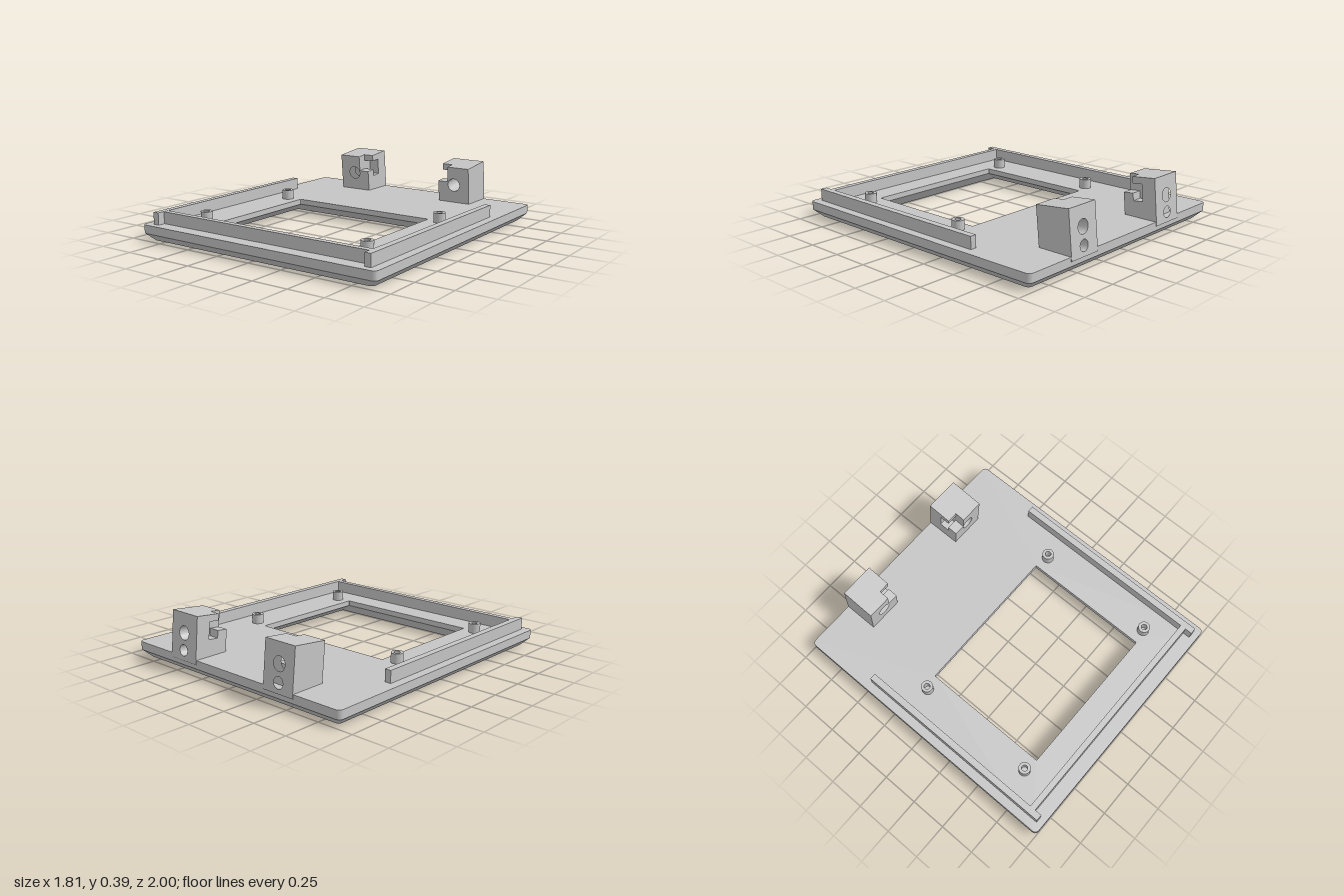
import * as THREE from 'three';

const grey = new THREE.MeshStandardMaterial({ color: 0xc5c5c5 });
grey.name = 'light grey plastic';

// Rounded rectangle as a loop of [x, z] points
function loop(x0, x1, z0, z1, r, steps = 5) {
  const pts = [];
  const corners = [[x1 - r, z1 - r], [x0 + r, z1 - r], [x0 + r, z0 + r], [x1 - r, z0 + r]];
  corners.forEach(([cx, cz], q) => {
    for (let i = 0; i <= steps; i++) {
      const a = (q + i / steps) * Math.PI / 2;
      pts.push([cx + r * Math.cos(a), cz + r * Math.sin(a)]);
    }
  });
  return pts;
}

// Walls between stacked loops; rising loops face outward, falling loops face inward
function walls(...rings) {
  const pos = [];
  for (let k = 0; k + 1 < rings.length; k++) {
    const [a, ya] = rings[k], [b, yb] = rings[k + 1];
    for (let i = 0; i < a.length; i++) {
      const j = (i + 1) % a.length;
      const ai = [a[i][0], ya, a[i][1]], aj = [a[j][0], ya, a[j][1]];
      const bi = [b[i][0], yb, b[i][1]], bj = [b[j][0], yb, b[j][1]];
      pos.push(...ai, ...bi, ...aj, ...aj, ...bi, ...bj);
    }
  }
  const g = new THREE.BufferGeometry();
  g.setAttribute('position', new THREE.Float32BufferAttribute(pos, 3));
  g.computeVertexNormals();
  return g;
}

// Flat horizontal face with holes, facing up (1) or down (-1)
function face(outline, holes, y, dir) {
  const v = (l) => l.map(([x, z]) => new THREE.Vector2(x, -dir * z));
  const s = new THREE.Shape(v(outline));
  holes.forEach((h) => s.holes.push(new THREE.Path(v(h))));
  return new THREE.ShapeGeometry(s).rotateX(-dir * Math.PI / 2).translate(0, y, 0);
}

export function createModel() {
  const model = new THREE.Group();
  model.name = 'displayBezel';
  const add = (name, geo, parent = model) => {
    const m = new THREE.Mesh(geo, grey);
    m.name = name;
    parent.add(m);
    return m;
  };
  const box = (name, x0, x1, y0, y1, z0, z1) =>
    add(name, new THREE.BoxGeometry(x1 - x0, y1 - y0, z1 - z0)
      .translate((x0 + x1) / 2, (y0 + y1) / 2, (z0 + z1) / 2));

  // Plate with chamfered lower edge and a window that flares underneath
  const top = 0.107;
  const rim = loop(-0.905, 0.905, -0.995, 1, 0.03);
  const base = loop(-0.855, 0.855, -0.945, 0.95, 0.025);
  const win = loop(-0.537, 0.537, -0.195, 0.7, 0.008);
  const flare = loop(-0.65, 0.65, -0.3, 0.755, 0.008);
  const recesses = [
    ['slotRecess', loop(-0.11, 0.65, -0.55, -0.49, 0.008)],
    ['smallRecess', loop(-0.705, -0.615, -0.81, -0.73, 0.004)],
  ];
  const plate = new THREE.Group();
  plate.name = 'plate';
  model.add(plate);
  add('plateTop', face(rim, [win], top, 1), plate);
  add('plateBottom', face(base, [flare, ...recesses.map((r) => r[1])], 0, -1), plate);
  add('plateEdge', walls([base, 0], [rim, 0.05], [rim, top]), plate);
  add('windowEdge', walls([win, top], [win, 0.07], [flare, 0]), plate);
  for (const [name, l] of recesses) {
    add(name + 'Walls', walls([l, 0.02], [l, 0]), plate);
    add(name + 'Floor', face(l, [], 0.02, -1), plate);
  }

  // Raised rails
  box('frontRail', -0.81, 0.81, 0.1, 0.187, 0.865, 0.905);
  for (const s of [-1, 1]) {
    const x = s * 0.8235;
    box('sideRail', x - 0.022, x + 0.022, 0.1, 0.188, -0.49, 0.955);
  }

  // Hollow screw posts
  const post = [[0.04, 0], [0.04, 0.065], [0.02, 0.065], [0.02, 0.001], [0, 0.001]]
    .map(([r, y]) => new THREE.Vector2(r, y));
  const postGeo = new THREE.LatheGeometry(post, 28).toNonIndexed();
  postGeo.computeVertexNormals();
  for (const x of [-0.637, 0.637]) {
    for (const z of [-0.17, 0.68]) add('screwPost', postGeo).position.set(x, top, z);
  }

  // Leaning hinge blocks, cut in slices from back to front, with a side pocket behind a front lip
  const H = 0.31, inner = 0.307, mid = 0.383, outer = 0.55;
  const full = [[inner, 0], [outer, 0], [outer, H], [inner, H]];
  const hooked = [[inner, 0], [outer, 0], [outer, H], [inner, H],
    [inner, 0.265], [mid, 0.265], [mid, 0.15], [inner, 0.15]];
  const stepped = [[inner, 0], [outer, 0], [outer, H], [mid, H], [mid, 0.2], [inner, 0.2]];
  const bore = [0.18, 0.046], blind = [0.067, 0.037];
  const slices = [
    [full, 0, 0.06, [bore, blind]],
    [full, 0.06, 0.1, [bore]],
    [hooked, 0.1, 0.17, [bore]],
    [stepped, 0.17, 0.242, [bore]],
  ];
  for (const s of [-1, 1]) {
    const block = new THREE.Group();
    block.name = s > 0 ? 'leftHingeBlock' : 'rightHingeBlock';
    block.position.set(0, 0.08, -1);
    block.rotation.x = 0.1;
    model.add(block);
    for (const [pts, z0, z1, holes] of slices) {
      const shape = new THREE.Shape(pts.map(([x, y]) => new THREE.Vector2(s * x, y)));
      for (const [y, r] of holes) {
        shape.holes.push(new THREE.Path().absarc(s * 0.431, y, r, 0, Math.PI * 2, true));
      }
      const geo = new THREE.ExtrudeGeometry(shape, { depth: z1 - z0, bevelEnabled: false, curveSegments: 28 });
      add('hingeSlice', geo.translate(0, 0, z0), block);
    }
  }
  return model;
}
